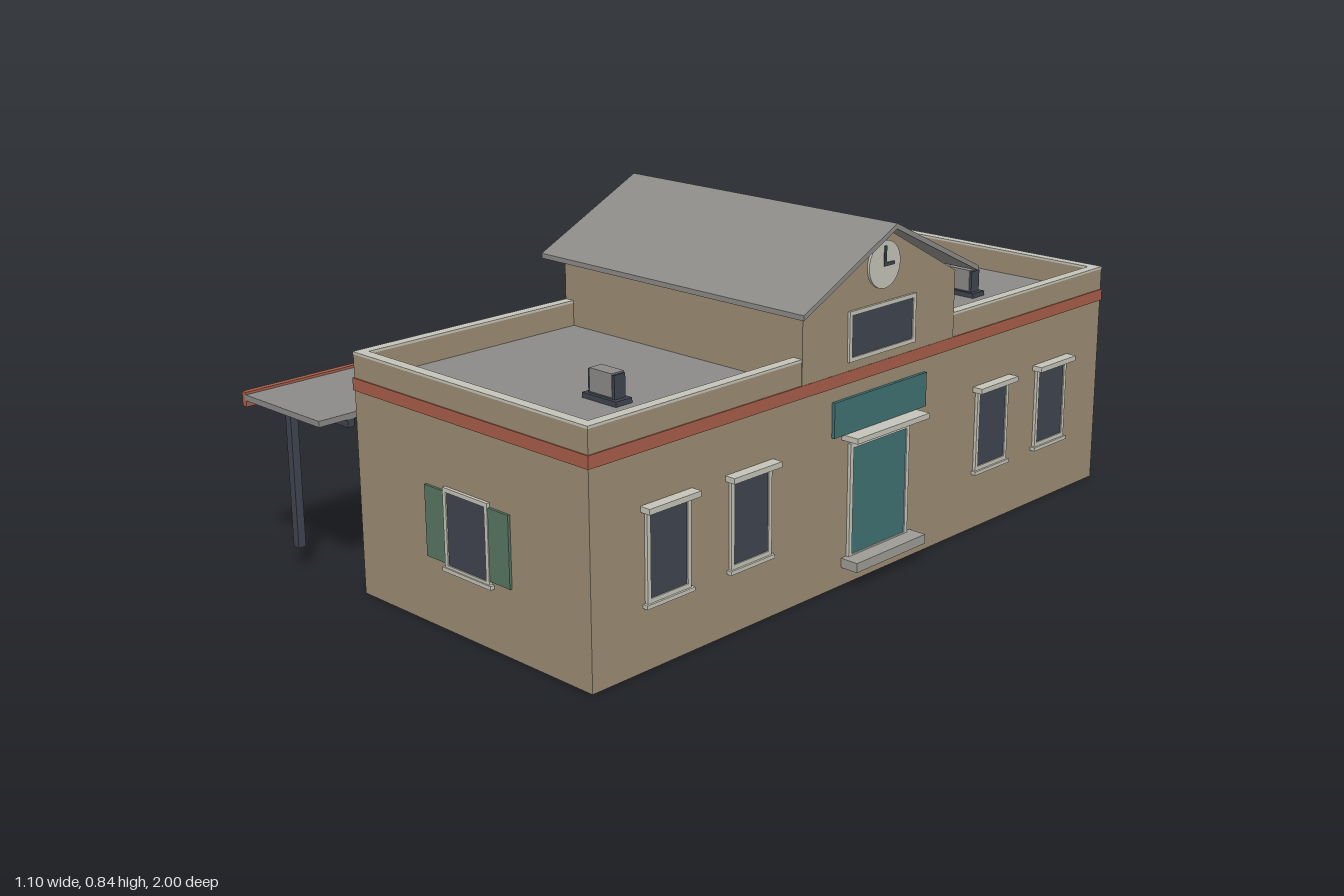
import * as THREE from 'three';

const paint = (name, color, side = THREE.FrontSide) => {
  const m = new THREE.MeshStandardMaterial({ color, side });
  m.name = name;
  return m;
};

export function createModel() {
  const wall = paint('sandstone wall', 0x9b8b72);
  const grey = paint('grey roofing', 0x8b8a87);
  const trim = paint('pale trim', 0xc4c3b8);
  const brick = paint('brick red', 0xa65d47);
  const dark = paint('dark iron and glass', 0x3f444e);
  const teal = paint('teal paint', 0x407072);
  const green = paint('green shutter', 0x567562);
  const stone = paint('step stone', 0x9c9b95);

  const root = new THREE.Group();
  root.name = 'stationBuilding';

  const add = (parent, name, geo, mat, x = 0, y = 0, z = 0) => {
    const m = new THREE.Mesh(geo, mat);
    m.name = name;
    m.position.set(x, y, z);
    parent.add(m);
    return m;
  };
  // Box given by its min/max on each axis
  const box = (parent, name, mat, [x0, x1], [y0, y1], [z0, z1]) =>
    add(parent, name, new THREE.BoxGeometry(x1 - x0, y1 - y0, z1 - z0), mat,
      (x0 + x1) / 2, (y0 + y1) / 2, (z0 + z1) / 2);

  const X0 = -0.255, X1 = 0.5, Z = 0.9, ROOF = 0.51;

  // Rectangular ring following the building plan, grown outward by "out"
  const ring = (name, mat, y0, y1, t, out = 0) => {
    const rect = (P, g) => {
      const p = new P();
      p.moveTo(X0 - g, -Z - g);
      p.lineTo(X1 + g, -Z - g);
      p.lineTo(X1 + g, Z + g);
      p.lineTo(X0 - g, Z + g);
      p.closePath();
      return p;
    };
    const s = rect(THREE.Shape, out);
    s.holes.push(rect(THREE.Path, out - t));
    const g = new THREE.ExtrudeGeometry(s, { depth: y1 - y0, bevelEnabled: false });
    g.rotateX(-Math.PI / 2);
    add(root, name, g, mat, 0, y0, 0);
  };
  // Profile in the z-y plane extruded along x
  const alongX = (name, mat, pts, x0, x1) => {
    const s = new THREE.Shape(pts.map(p => new THREE.Vector2(...p)));
    const g = new THREE.ExtrudeGeometry(s, { depth: x1 - x0, bevelEnabled: false });
    g.rotateY(Math.PI / 2);
    add(root, name, g, mat, x0, 0, 0);
  };

  // Hollow walls, parapet and flat roof
  ring('walls', wall, 0, ROOF, 0.004);
  ring('parapet', wall, ROOF, 0.566, 0.025);
  ring('parapetCap', trim, 0.566, 0.572, 0.026, 0.001);
  ring('brickBand', brick, 0.483, 0.512, 0.0035, 0.003);
  box(root, 'flatRoof', grey, [X0 + 0.003, X1 - 0.003], [ROOF - 0.012, ROOF], [-Z + 0.003, Z - 0.003]);

  // Raised central hall with its pitched roof
  alongX('gableHall', wall,
    [[-0.27, ROOF], [0.27, ROOF], [0.27, 0.675], [0, 0.822], [-0.27, 0.675]], X0 - 0.002, X1 + 0.002);
  alongX('gableRoof', grey,
    [[-0.31, 0.673], [0, 0.823], [0.31, 0.673], [0.31, 0.685], [0, 0.836], [-0.31, 0.685]], -0.295, 0.54);

  // Roof vents
  for (const z of [-0.625, 0.625]) {
    box(root, 'ventBase', dark, [0.21, 0.315], [ROOF, ROOF + 0.012], [z - 0.024, z + 0.024]);
    box(root, 'ventBox', dark, [0.222, 0.303], [ROOF, 0.576], [z - 0.016, z + 0.016]);
    box(root, 'ventPanel', grey, [0.228, 0.297], [ROOF + 0.016, 0.579], [z - 0.018, z + 0.018]);
  }

  // Facade helper: local +z points out of the wall
  const facade = (name, x, z, turn) => {
    const g = new THREE.Group();
    g.name = name;
    g.position.set(x, 0, z);
    g.rotation.y = turn;
    root.add(g);
    return g;
  };
  // Framed panel: four frame bars around a thin pane
  const framed = (g, name, mat, cx, hw, y0, y1, b) => {
    box(g, name, mat, [cx - hw + b, cx + hw - b], [y0 + b, y1 - b], [0, 0.005]);
    for (const s of [-1, 1]) {
      const e = cx + s * (hw - b / 2);
      box(g, name + 'Jamb', trim, [e - b / 2, e + b / 2], [y0, y1], [0, 0.008]);
    }
    for (const y of [y0, y1 - b])
      box(g, name + 'Rail', trim, [cx - hw, cx + hw], [y, y + b], [0, 0.008]);
  };

  // Long sides: door, windows, gable window
  const longSide = (g) => {
    for (const cx of [-0.685, -0.435, 0.435, 0.685]) {
      framed(g, 'window', dark, cx, 0.064, 0.152, 0.357, 0.01);
      box(g, 'windowHood', trim, [cx - 0.075, cx + 0.075], [0.355, 0.368], [0, 0.027]);
      box(g, 'windowSill', trim, [cx - 0.07, cx + 0.07], [0.143, 0.152], [0, 0.013]);
    }
    framed(g, 'door', teal, 0, 0.107, 0.06, 0.34, 0.011);
    box(g, 'doorHood', trim, [-0.13, 0.13], [0.354, 0.367], [0, 0.047]);
    box(g, 'doorStep', stone, [-0.125, 0.125], [0.045, 0.068], [0, 0.048]);
    box(g, 'doorPanel', teal, [-0.165, 0.165], [0.367, 0.45], [0, 0.008]);
    framed(g, 'gableWindow', dark, 0, 0.118, 0.533, 0.65, 0.01);
  };
  const street = facade('streetSide', X1, 0, Math.PI / 2);
  longSide(street);
  longSide(facade('platformSide', X0, 0, -Math.PI / 2));

  // Clock on the street gable
  const dial = new THREE.CylinderGeometry(0.055, 0.055, 0.008, 32).rotateX(Math.PI / 2);
  add(street, 'clockFace', dial, trim, 0, 0.737, 0.004);
  box(street, 'minuteHand', dark, [-0.004, 0.004], [0.733, 0.78], [0.006, 0.01]);
  box(street, 'hourHand', dark, [-0.004, 0.032], [0.733, 0.741], [0.006, 0.01]);

  // End walls: one shuttered window each
  for (const s of [1, -1]) {
    const g = facade('endWall', 0.122, s * Z, s > 0 ? 0 : Math.PI);
    framed(g, 'endWindow', dark, 0, 0.073, 0.148, 0.335, 0.01);
    box(g, 'endSill', trim, [-0.08, 0.08], [0.143, 0.152], [0, 0.011]);
    for (const k of [-1, 1])
      box(g, 'shutter', green, [k * 0.105 - 0.032, k * 0.105 + 0.032], [0.16, 0.325], [0, 0.006]);
  }

  // Platform canopy with posts and brackets
  box(root, 'canopyRoof', grey, [-0.54, X0], [0.42, 0.434], [-1, 1]);
  box(root, 'canopyFascia', brick, [-0.55, -0.535], [0.405, 0.44], [-1, 1]);
  for (let i = -2; i <= 2; i++) {
    const z = i * 0.4575;
    box(root, 'canopyPost', dark, [-0.495, -0.475], [0.055, 0.42], [z - 0.01, z + 0.01]);
    box(root, 'canopyBeam', dark, [-0.495, X0], [0.401, 0.42], [z - 0.009, z + 0.009]);
  }

  // Platform benches
  for (const z of [-0.6, 0.6]) {
    box(root, 'benchSeat', wall, [-0.402, -0.348], [0.1, 0.108], [z - 0.11, z + 0.11]);
    for (const s of [-0.085, 0.085])
      box(root, 'benchLeg', dark, [-0.4, -0.35], [0.055, 0.1], [z + s - 0.01, z + s + 0.01]);
  }

  return root;
}
